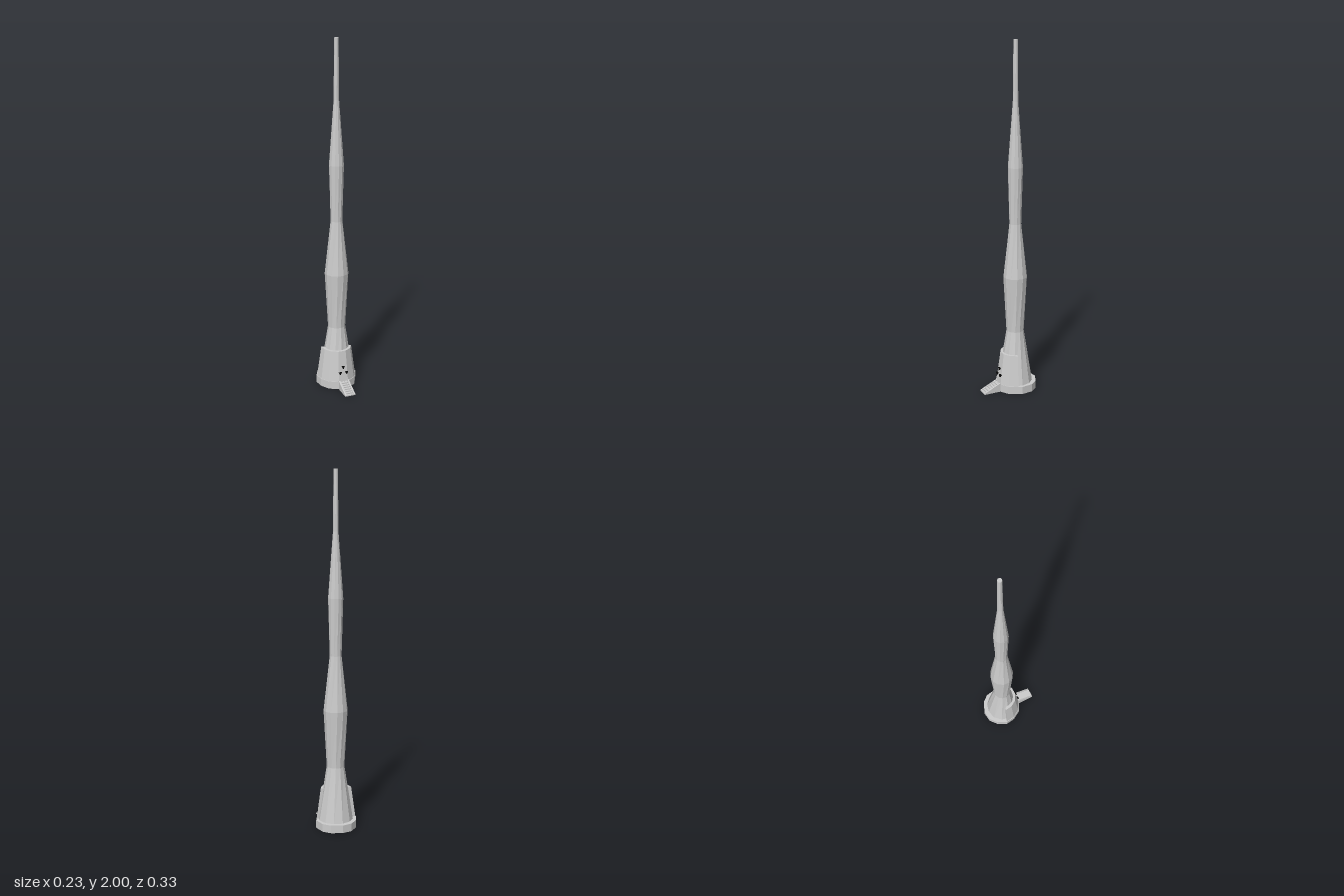
import * as THREE from 'three';

const CZ = -0.042; // tower axis

const grey = new THREE.MeshStandardMaterial({ color: 0xcccccc, flatShading: true, side: THREE.DoubleSide });
const dark = new THREE.MeshStandardMaterial({ color: 0x080808 });

// Skin between closed cross-sections (counter-clockwise about the travel direction), capped at both ends
function loft(sections) {
  const n = sections[0].length, last = sections.length - 1, pos = [];
  const tri = (...pts) => pts.forEach((p) => pos.push(...p));
  for (let i = 0; i < last; i++) {
    for (let j = 0; j < n; j++) {
      const k = (j + 1) % n;
      const a = sections[i][j], b = sections[i][k], c = sections[i + 1][k], d = sections[i + 1][j];
      tri(a, b, c);
      tri(a, c, d);
    }
  }
  for (let j = 1; j < n - 1; j++) {
    tri(sections[0][0], sections[0][j + 1], sections[0][j]);
    tri(sections[last][0], sections[last][j], sections[last][j + 1]);
  }
  const geo = new THREE.BufferGeometry();
  geo.setAttribute('position', new THREE.Float32BufferAttribute(pos, 3));
  geo.computeVertexNormals();
  return geo;
}

// Shape in (z, y) extruded along x, centred on x
function sideProfile(points, width, x) {
  const shape = new THREE.Shape(points.map(([z, y]) => new THREE.Vector2(-z, y)));
  const geo = new THREE.ExtrudeGeometry(shape, { depth: width, bevelEnabled: false });
  return geo.translate(0, 0, -width / 2).rotateY(Math.PI / 2).translate(x, 0, 0);
}

export function createModel() {
  const model = new THREE.Group();
  const add = (name, geo, mat = grey, parent = model) => {
    const mesh = new THREE.Mesh(geo, mat);
    mesh.name = name;
    parent.add(mesh);
    return mesh;
  };

  // Slightly irregular twelve-sided plinth
  const outline = [
    [-0.03, 0.068], [0.029, 0.068], [0.079, 0.038], [0.116, -0.032], [0.107, -0.1], [0.073, -0.141],
    [0.0125, -0.167], [-0.045, -0.16], [-0.09, -0.123], [-0.117, -0.068], [-0.11, -0.0125], [-0.081, 0.038],
  ];
  add('base', loft([0, 0.045].map((y) => outline.map(([x, z]) => [x, y, z]))));

  // Tapering, gently twisting tower: [height, radius]
  const rings = [[0.04, 0.1], [0.355, 0.05], [0.68, 0.068], [0.99, 0.034], [1.31, 0.042], [1.67, 0.015], [2, 0.012]];
  add('tower', loft(rings.map(([y, r], i) => Array.from({ length: 12 }, (_, j) => {
    const t = (j / 12) * Math.PI * 2 + i * 0.12;
    return [r * Math.sin(t), y, CZ + r * Math.cos(t)];
  }))));

  // Sloping shell wrapped around the front of the tower foot
  const path = [[-0.117, -0.068], [-0.11, -0.0125], [-0.081, 0.038], [-0.03, 0.068],
    [0.029, 0.068], [0.079, 0.038], [0.108, -0.012]];
  const toAxis = ([x, z], s, y) => [x * s, y, CZ + (z - CZ) * s];
  add('frontShell', loft(path.map((p) => [
    toAxis(p, 0.76, 0.225), toAxis(p, 0.97, 0.045), toAxis(p, 0.82, 0.045), toAxis(p, 0.61, 0.225),
  ])));

  // Three triangular vents on the front of the shell
  const vents = new THREE.Group();
  vents.name = 'vents';
  vents.position.set(0, 0.108, 0.058);
  vents.rotation.x = -0.13;
  model.add(vents);
  const wedge = new THREE.Shape([[0, -0.008], [0.009, 0.008], [-0.009, 0.008]].map((p) => new THREE.Vector2(...p)));
  const ventGeo = new THREE.ExtrudeGeometry(wedge, { depth: 0.012, bevelEnabled: false }).translate(0, 0, -0.004);
  for (let i = 0; i < 3; i++) {
    const t = (i / 3) * Math.PI * 2;
    const vent = add('vent', ventGeo, dark, vents);
    vent.position.set(-0.02 * Math.sin(t), 0.02 * Math.cos(t), 0);
    vent.rotation.z = t;
  }

  // Entrance stairs with sloping side walls
  const steps = 7, zBack = 0.06, zFront = 0.167, top = 0.044;
  const run = (zFront - 0.07) / steps, rise = top / steps;
  const stair = [[zBack, 0], [zBack, top]];
  for (let i = 0; i < steps; i++) {
    const z = 0.07 + run * (i + 1);
    stair.push([z, top - rise * i], [z, top - rise * (i + 1)]);
  }
  add('stairs', sideProfile(stair.reverse(), 0.044, 0));
  const wall = [[zFront, 0], [zFront, 0.006], [0.07, 0.051], [zBack, 0.051], [zBack, 0]];
  for (const side of [-1, 1]) add('stairWall', sideProfile(wall, 0.009, side * 0.0265));

  return model;
}
